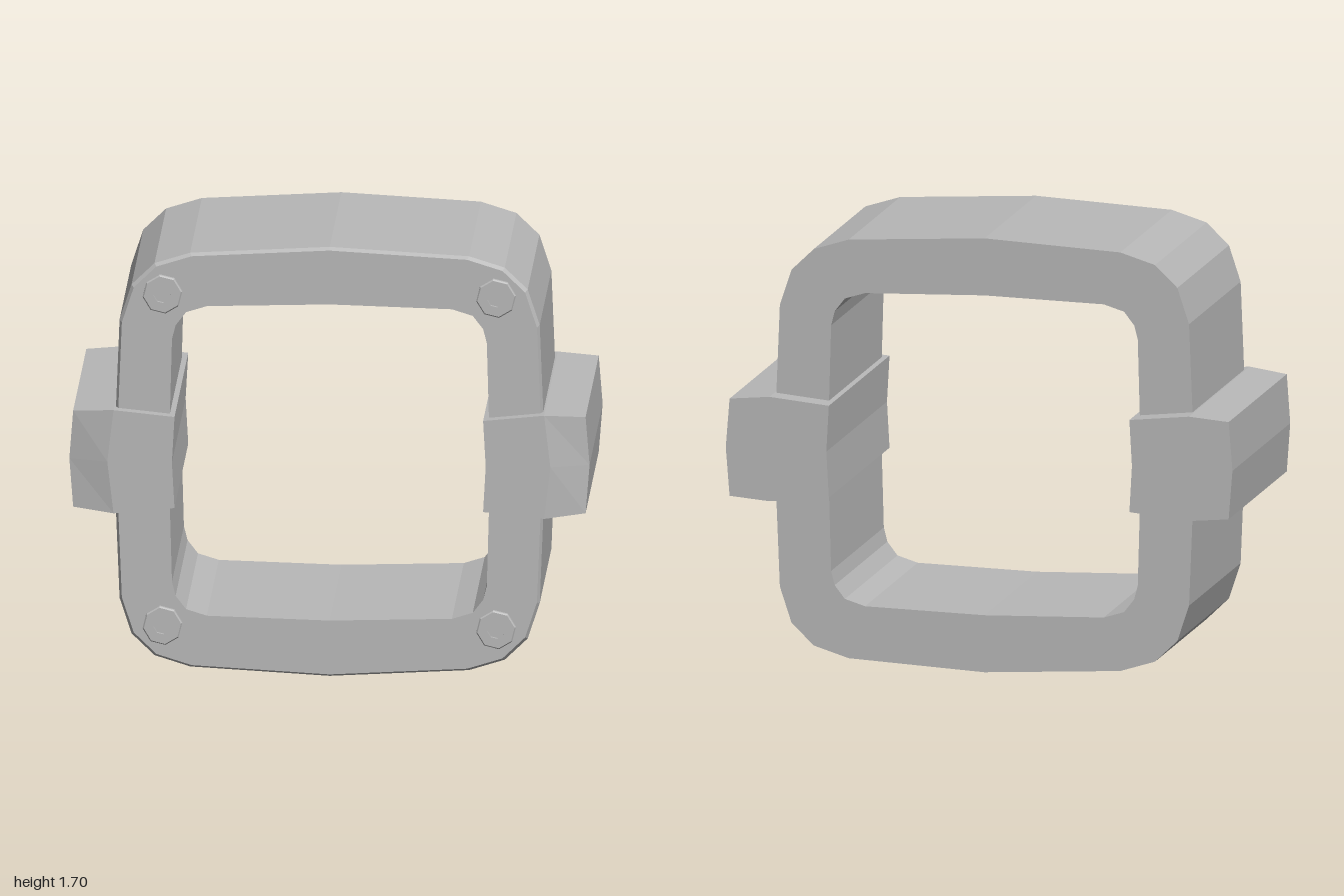
import * as THREE from 'three';

const CY = 0.848; // height of the centre line

// Flat-shaded surface through a row of equal-length loops
function loft(rings, { closed = false, caps = false } = {}) {
  const pos = [];
  const quad = (a, b, c, d) => pos.push(...a, ...b, ...c, ...a, ...c, ...d);
  const n = rings[0].length;
  const last = closed ? rings.length : rings.length - 1;
  for (let i = 0; i < last; i++) {
    const r = rings[i], s = rings[(i + 1) % rings.length];
    for (let j = 0; j < n; j++) {
      const k = (j + 1) % n;
      quad(r[j], r[k], s[k], s[j]);
    }
  }
  if (caps) { // six-point loops
    const e = rings[rings.length - 1], b = rings[0];
    quad(e[0], e[1], e[4], e[5]);
    quad(e[1], e[2], e[3], e[4]);
    quad(b[5], b[4], b[1], b[0]);
    quad(b[4], b[3], b[2], b[1]);
  }
  const g = new THREE.BufferGeometry();
  g.setAttribute('position', new THREE.Float32BufferAttribute(pos, 3));
  g.computeVertexNormals();
  return g;
}

// Mirror a quarter outline (from +x axis to +y axis) into a full loop
function fullLoop(q) {
  const half = [...q, ...q.slice(0, -1).reverse().map(([x, y]) => [-x, y])];
  return [...half, ...half.slice(1, -1).reverse().map(([x, y]) => [x, -y])];
}

const ringAt = (loop, z, s = 1) => loop.map(([x, y]) => [x * s, CY + y * s, z]);

// Bulged rounded-square frame with a fine bevel on its front outer edge
function frameGeometry() {
  const outer = fullLoop([[0.828, 0], [0.806, 0.55], [0.76, 0.69], [0.672, 0.775], [0.535, 0.818], [0, 0.848]]);
  const inner = fullLoop([[0.617, 0], [0.604, 0.48], [0.59, 0.535], [0.55, 0.587], [0.47, 0.612], [0, 0.625]]);
  return loft([
    ringAt(outer, -0.412),
    ringAt(outer, 0.438),
    ringAt(outer, 0.456, 0.988),
    ringAt(inner, 0.456),
    ringAt(inner, -0.412),
  ], { closed: true });
}

// Side block: sections along x, bowed outer face, front outer chamfer
function blockGeometry(side) {
  const sections = [ // edge x, middle x, half height, front z at edge, front z at middle
    [0.592, 0.602, 0.18, 0.5, 0.5],
    [0.826, 0.85, 0.204, 0.5, 0.5],
    [0.983, 0.998, 0.19, 0.458, 0.452],
  ];
  const rings = sections.map(([xe, xm, h, ze, zm]) => {
    const loop = [
      [xe, h, ze], [xm, 0, zm], [xe, -h, ze],
      [xe, -h, -0.5], [xm, 0, -0.5], [xe, h, -0.5],
    ].map(([x, y, z]) => [x * side, y + CY + 0.003, z]);
    return side > 0 ? loop : loop.reverse();
  });
  return loft(rings, { caps: true });
}

// Octagonal bolt head with a recessed socket, facing +z
function boltGeometry() {
  const profile = [[0.077, 0], [0.077, 0.014], [0.072, 0.02], [0.034, 0.02], [0.034, 0.007], [0, 0.007]]
    .map(([r, y]) => new THREE.Vector2(r, y));
  const g = new THREE.LatheGeometry(profile, 8).rotateX(Math.PI / 2).toNonIndexed();
  g.computeVertexNormals();
  return g;
}

export function createModel() {
  const group = new THREE.Group();
  group.name = 'squareFrameWithSideBlocks';
  const grey = new THREE.MeshStandardMaterial({ color: 0xb8b8b8 });
  grey.name = 'grey';

  const add = (name, geometry) => {
    const mesh = new THREE.Mesh(geometry, grey);
    mesh.name = name;
    group.add(mesh);
    return mesh;
  };

  add('frame', frameGeometry());
  add('leftBlock', blockGeometry(1));
  add('rightBlock', blockGeometry(-1));

  // One bolt in each front corner
  const bolt = boltGeometry();
  for (const [sx, h] of [[1, 'left'], [-1, 'right']]) {
    for (const [sy, v] of [[1, 'Upper'], [-1, 'Lower']]) {
      const mesh = add(`${h}${v}Bolt`, bolt);
      mesh.position.set(sx * 0.64, CY + 0.005 + sy * 0.655, 0.455);
      mesh.rotation.z = 0.15;
    }
  }
  return group;
}
